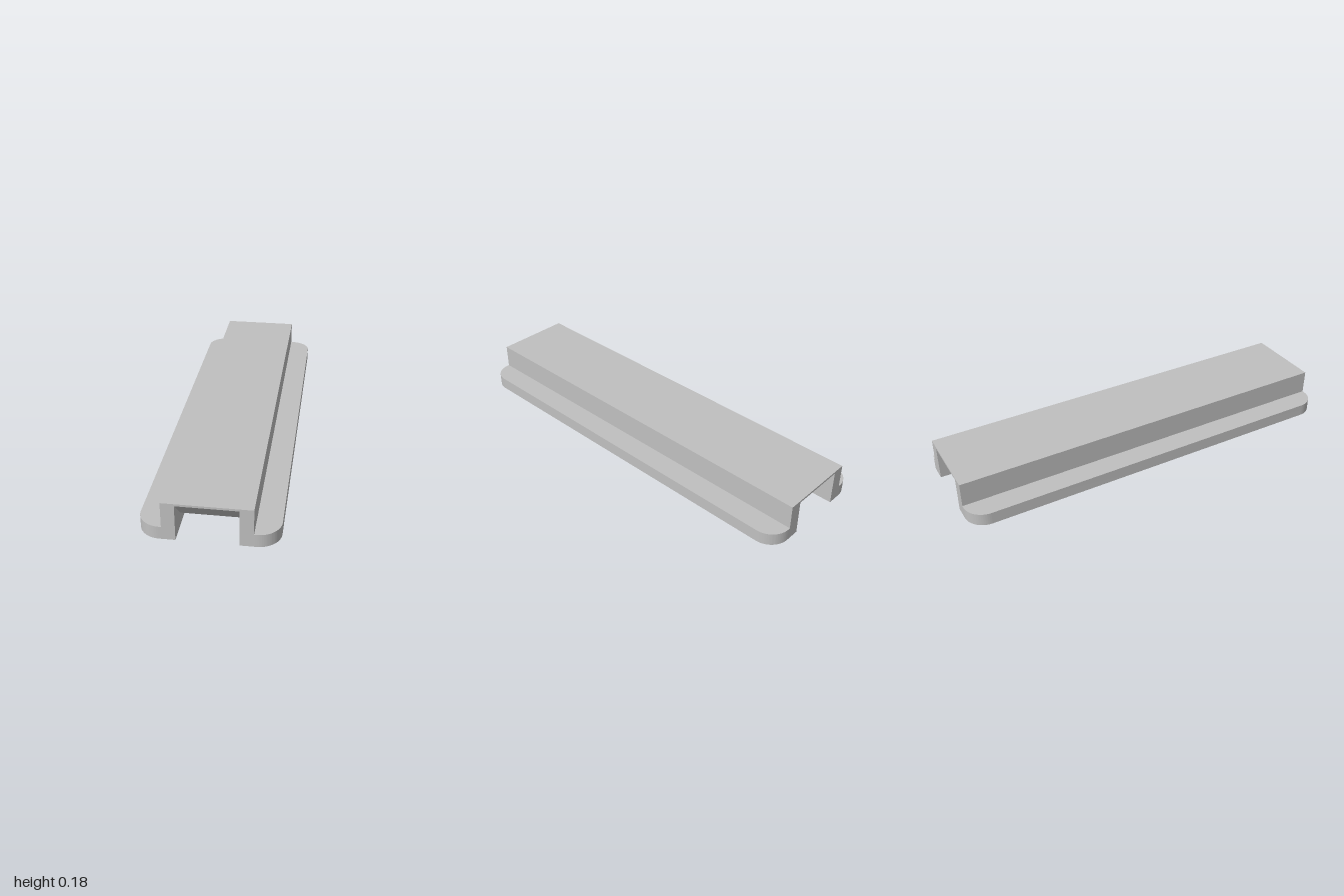
import * as THREE from 'three';
import { toCreasedNormals } from 'three/addons/utils/BufferGeometryUtils.js';

const INNER = 0.137, WALL = 0.197, OUTER = 0.308; // half widths
const BASE = 0.062, CEILING = 0.174, TOP = 0.184; // heights
const CORNER = 0.1; // flange corner radius
const RAMP = 0.111; // length of the sloped ends below the roof

export function createModel() {
  const group = new THREE.Group();
  const grey = new THREE.MeshStandardMaterial({ color: 0xc0c0c0 });
  grey.name = 'grey';

  const add = (name, geometry, x = 0, y = 0, turn = 0) => {
    const mesh = new THREE.Mesh(geometry, grey);
    mesh.name = name;
    mesh.position.set(x, y, 0);
    mesh.rotation.y = turn;
    group.add(mesh);
  };

  // Flange: flat strip with two rounded outer corners
  const outline = new THREE.Shape();
  outline.moveTo(WALL, -1);
  outline.lineTo(OUTER - CORNER, -1);
  outline.absarc(OUTER - CORNER, -1 + CORNER, CORNER, -Math.PI / 2, 0, false);
  outline.absarc(OUTER - CORNER, 1 - CORNER, CORNER, 0, Math.PI / 2, false);
  outline.lineTo(WALL, 1);
  outline.closePath();
  const flange = toCreasedNormals(
    new THREE.ExtrudeGeometry(outline, { depth: BASE, bevelEnabled: false, curveSegments: 16 })
      .rotateX(-Math.PI / 2), 0.5);

  // Side walls and flanges, mirrored
  const wall = new THREE.BoxGeometry(WALL - INNER, TOP, 2);
  for (const [side, s] of [['left', 1], ['right', -1]]) {
    add(side + 'Wall', wall, s * (WALL + INNER) / 2, TOP / 2);
    add(side + 'Flange', flange, 0, 0, s > 0 ? 0 : Math.PI);
  }

  // Thick roof between the walls, its underside sloping up at both ends
  const profile = new THREE.Shape([
    [-1, TOP], [-1, CEILING], [-1 + RAMP, BASE], [1 - RAMP, BASE], [1, CEILING], [1, TOP],
  ].map(([z, y]) => new THREE.Vector2(z, y)));
  const roof = new THREE.ExtrudeGeometry(profile, { depth: INNER * 2, bevelEnabled: false })
    .translate(0, 0, -INNER)
    .rotateY(Math.PI / 2);
  add('roof', roof);

  return group;
}
